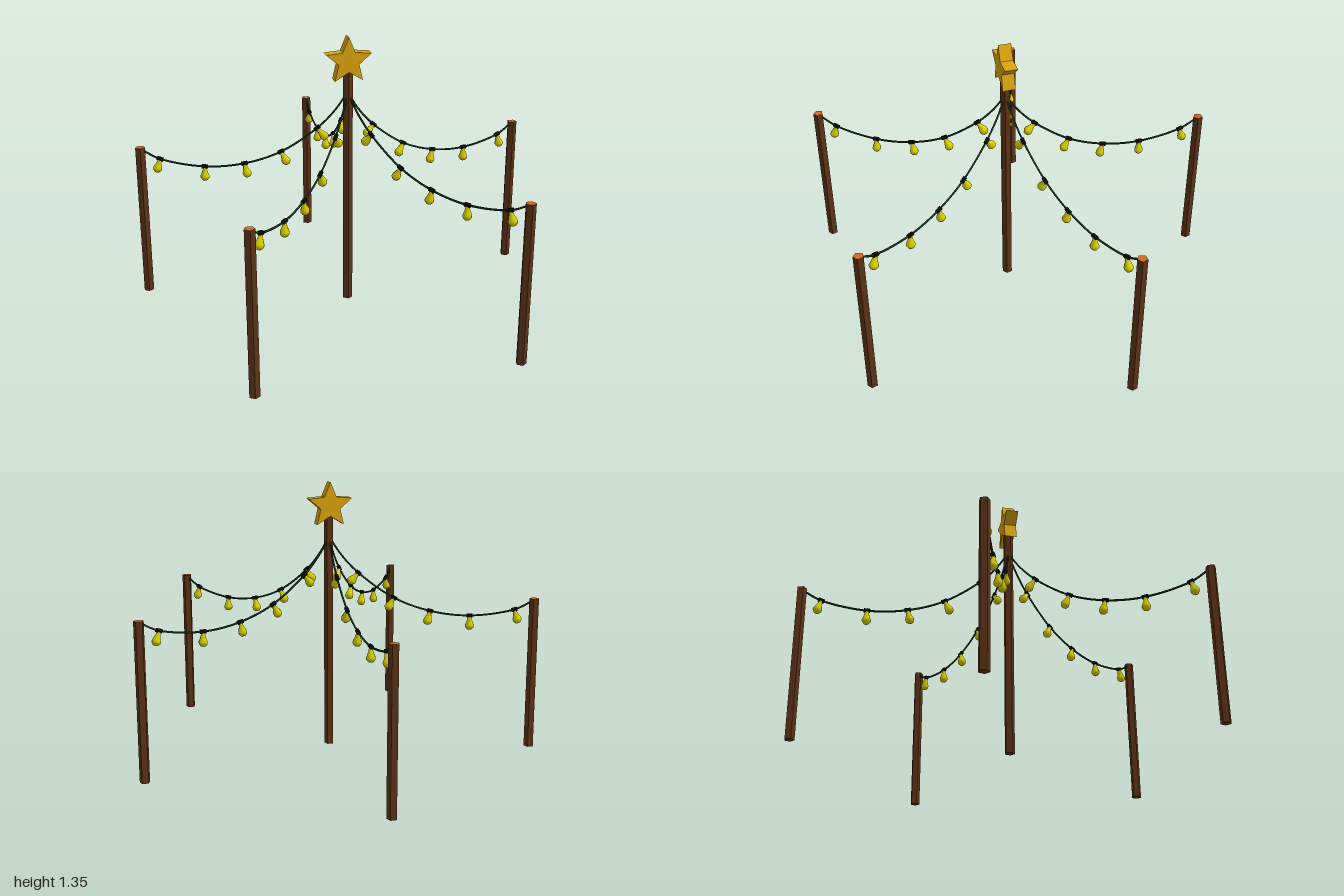
import * as THREE from 'three';

const mat = (color, extra = {}) => new THREE.MeshStandardMaterial({ color, ...extra });

export function createModel() {
  const model = new THREE.Group();
  const centreZ = 0.095, spread = 1.025;
  const wood = mat(0x5c3317, { flatShading: true });
  const cutWood = mat(0xd2691e);
  const cord = mat(0x10301a);
  const black = mat(0x0c0c0c, { flatShading: true });
  const yellow = mat(0xd8d000);
  const gold = mat(0xdaa50e, { flatShading: true });

  const add = (parent, name, geometry, material) => {
    const mesh = new THREE.Mesh(geometry, material);
    mesh.name = name;
    parent.add(mesh);
    return mesh;
  };

  // Five-sided posts with a lighter cut top
  const addPost = (name, height, x, z) => {
    const geometry = new THREE.CylinderGeometry(0.025, 0.025, height, 5);
    add(model, name, geometry, [wood, cutWood, wood]).position.set(x, height / 2, z);
  };
  addPost('centrePost', 1.2, 0, centreZ);

  // Star on the centre post
  const star = new THREE.Shape();
  for (let i = 0; i < 10; i++) {
    const r = i % 2 ? 0.052 : 0.115;
    const a = Math.PI / 2 + (i * Math.PI) / 5;
    star[i ? 'lineTo' : 'moveTo'](r * Math.cos(a), r * Math.sin(a));
  }
  star.closePath();
  const starGeometry = new THREE.ExtrudeGeometry(star, { depth: 0.062, bevelEnabled: false });
  add(model, 'star', starGeometry, gold).position.set(0, 1.23, centreZ - 0.031);

  // Sagging cord: distance from the centre post, height
  const path = new THREE.CatmullRomCurve3([
    [0, 1.075], [0.06, 0.985], [0.147, 0.893], [0.325, 0.768],
    [0.507, 0.702], [0.705, 0.68], [0.927, 0.713], [1.015, 0.757],
  ].map(([r, y]) => new THREE.Vector3(r, y, 0)));
  const cordGeometry = new THREE.TubeGeometry(path, 48, 0.005, 6);
  const socketGeometry = new THREE.CylinderGeometry(0.011, 0.011, 0.03, 6).rotateZ(Math.PI / 2);
  const bulbGeometry = new THREE.LatheGeometry([
    [0, -0.073], [0.013, -0.07], [0.022, -0.058], [0.022, -0.048],
    [0.016, -0.033], [0.011, -0.018], [0.009, -0.005],
  ].map(([r, y]) => new THREE.Vector2(r, y)), 8);

  // Five strands, each ending at an outer post
  for (let i = 0; i < 5; i++) {
    const angle = Math.PI / 10 + (i * Math.PI * 2) / 5;
    addPost('outerPost', 0.77, spread * Math.cos(angle), centreZ - spread * Math.sin(angle));

    const strand = new THREE.Group();
    strand.name = 'lightStrand';
    strand.position.z = centreZ;
    strand.rotation.y = angle;
    add(strand, 'cord', cordGeometry, cord);

    // Bulbs hang square to the cord
    for (let k = 2; k < path.points.length - 1; k++) {
      const tangent = path.getTangent(k / (path.points.length - 1));
      const light = new THREE.Group();
      light.name = 'light';
      light.position.copy(path.points[k]);
      light.rotation.z = Math.atan2(tangent.y, tangent.x);
      add(light, 'socket', socketGeometry, black);
      add(light, 'bulb', bulbGeometry, yellow);
      strand.add(light);
    }
    model.add(strand);
  }
  return model;
}
